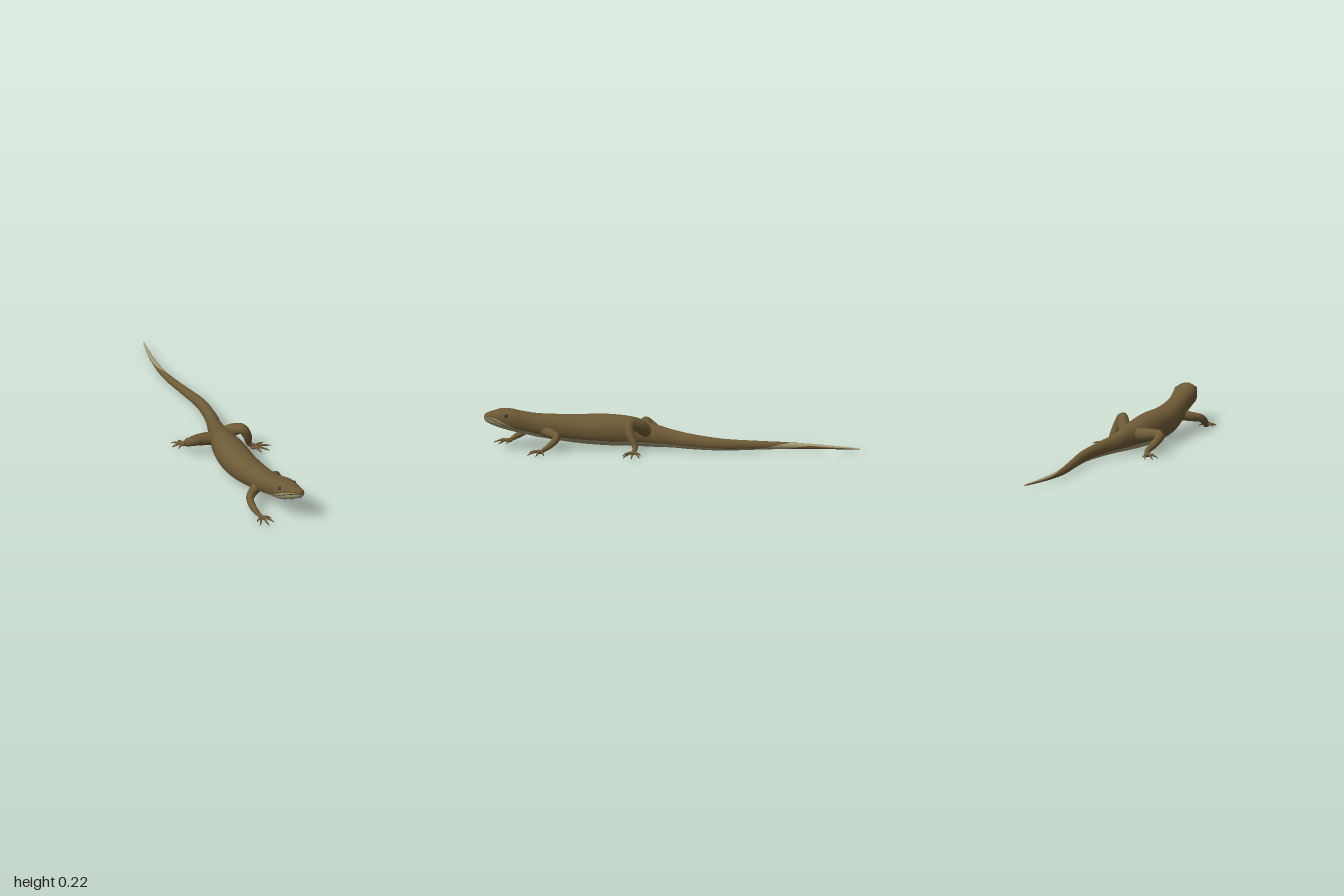
import * as THREE from 'three';

const mat = (name, color) => Object.assign(new THREE.MeshStandardMaterial({ color }), { name });
const V = (a) => new THREE.Vector3(...a);
const rad = THREE.MathUtils.degToRad;
const ramp = THREE.MathUtils.smoothstep;

// Body sections: z, centre x, half width, top y, bottom y
const SECTIONS = [
  [-1.0, 0.06, 0.001, 0.02, 0.016],
  [-0.97, 0.051, 0.005, 0.023, 0.013],
  [-0.78, 0.022, 0.013, 0.033, 0.009],
  [-0.62, 0.017, 0.018, 0.043, 0.007],
  [-0.45, 0.037, 0.022, 0.056, 0.008],
  [-0.27, 0.057, 0.027, 0.072, 0.008],
  [-0.1, 0.037, 0.033, 0.093, 0.01],
  [0.0, 0.01, 0.04, 0.11, 0.012],
  [0.1, -0.012, 0.05, 0.136, 0.01],
  [0.2, -0.033, 0.067, 0.165, 0.01],
  [0.35, -0.044, 0.083, 0.178, 0.012],
  [0.5, -0.043, 0.078, 0.176, 0.024],
  [0.7, -0.018, 0.063, 0.187, 0.06],
  [0.8, 0.001, 0.06, 0.206, 0.087],
  [0.86, 0.01, 0.064, 0.22, 0.105],
  [0.91, 0.018, 0.06, 0.222, 0.122],
  [0.95, 0.035, 0.044, 0.216, 0.14],
  [0.98, 0.05, 0.029, 0.21, 0.157],
  [0.995, 0.056, 0.017, 0.203, 0.17],
  [1.0, 0.058, 0.001, 0.189, 0.186],
];

// Half angle of the pale belly: wider at the lips and the tail tip
const bellyAngle = (z) => rad(58 + 47 * ramp(z, 0.8, 0.99) + 24 * (1 - ramp(z, -0.85, -0.7)));
// The pale band turns from the underside to the top along the tail
const bellyTurn = (z) => Math.PI * (1 - ramp(z, -0.78, -0.45));
// Rounder tail and nose tip, squarer trunk and head
const squareness = (z) => 1 - 0.08 * ramp(z, 0.1, 0.3) - 0.12 * ramp(z, 0.75, 0.9) + 0.2 * ramp(z, 0.96, 1);

// Smooth interpolation of the section table at any z
function sectionAt(z) {
  const S = SECTIONS, last = S.length - 1;
  let i = 0;
  while (i < last - 1 && z > S[i + 1][0]) i++;
  const h = S[i + 1][0] - S[i][0], t = (z - S[i][0]) / h;
  const slope = (k, c) => {
    const a = S[Math.max(k - 1, 0)], b = S[Math.min(k + 1, last)];
    return (b[c] - a[c]) / (b[0] - a[0]);
  };
  return S[i].map((p, c) => c === 0 ? z
    : (1 + 2 * t) * (1 - t) ** 2 * p + t * (1 - t) ** 2 * h * slope(i, c)
      + t * t * (3 - 2 * t) * S[i + 1][c] + t * t * (t - 1) * h * slope(i + 1, c));
}

// Skin point of a section; the angle runs from the underside towards +x
function skin([z, cx, halfWidth, top, bottom], angle) {
  const bend = (v) => Math.sign(v) * Math.abs(v) ** squareness(z);
  return [cx + halfWidth * bend(Math.sin(angle)),
    (top + bottom) / 2 - (top - bottom) / 2 * bend(Math.cos(angle)), z];
}

function bodyGeometry() {
  const BELLY = 16, BACK = 24, N = BELLY + BACK, STEPS = 7;
  const pos = [], belly = [], back = [], zs = [];
  for (let i = 0; i < SECTIONS.length - 1; i++)
    for (let k = 0; k < STEPS; k++)
      zs.push(THREE.MathUtils.lerp(SECTIONS[i][0], SECTIONS[i + 1][0], k / STEPS));
  zs.push(1);
  zs.forEach((z, i) => {
    const s = sectionAt(z), a = bellyAngle(z);
    for (let j = 0; j < N; j++) {
      const angle = j < BELLY ? -a + 2 * a * j / BELLY : a + (2 * Math.PI - 2 * a) * (j - BELLY) / BACK;
      pos.push(...skin(s, angle + bellyTurn(z)));
      if (i === zs.length - 1) continue;
      const p = i * N + j, q = i * N + (j + 1) % N;
      (j < BELLY ? belly : back).push(p, q, p + N, q, q + N, p + N);
    }
  });
  const g = new THREE.BufferGeometry();
  g.setAttribute('position', new THREE.Float32BufferAttribute(pos, 3));
  g.setIndex([...belly, ...back]);
  g.addGroup(0, belly.length, 0);
  g.addGroup(belly.length, back.length, 1);
  g.computeVertexNormals();
  return g;
}

// Tapered tube through points [x, y, z, radius]
function limbGeometry(points, segments = 28, sides = 14) {
  const curve = new THREE.CatmullRomCurve3(points.map(([x, y, z]) => new THREE.Vector3(x, y, z)));
  const radii = new THREE.CatmullRomCurve3(points.map((p, i) => new THREE.Vector3(i, p[3], 0)));
  const g = new THREE.TubeGeometry(curve, segments, 1, sides);
  const pos = g.attributes.position, v = new THREE.Vector3();
  for (let i = 0; i <= segments; i++) {
    const c = curve.getPointAt(i / segments);
    const r = radii.getPoint(curve.getUtoTmapping(i / segments)).y;
    for (let j = 0; j <= sides; j++) {
      const k = i * (sides + 1) + j;
      v.fromBufferAttribute(pos, k).sub(c).multiplyScalar(r).add(c);
      pos.setXYZ(k, v.x, v.y, v.z);
    }
  }
  return g;
}

// Flattened palm with five toes fanned about a heading (degrees from +z towards +x)
const TOE_LENGTHS = [0.04, 0.066, 0.082, 0.073, 0.05];
function addFoot(add, leg, [x, y, z], { heading, spread, reach }, skinMat, clawMat) {
  const palm = add(leg, 'palm', new THREE.SphereGeometry(0.017, 16, 10), skinMat);
  palm.position.set(x, y, z);
  palm.scale.y = 0.6;
  TOE_LENGTHS.forEach((length, i) => {
    const angle = rad(heading + (i - 2) * spread), d = length * reach;
    const at = (f, h, r) => [x + Math.sin(angle) * d * f, h, z + Math.cos(angle) * d * f, r];
    add(leg, 'toe', limbGeometry([at(0, y, 0.006), at(0.4, 0.018, 0.0058), at(0.7, 0.014, 0.0048),
      at(0.92, 0.008, 0.0025)], 10, 8), skinMat);
    add(leg, 'claw', limbGeometry([at(0.86, 0.0105, 0.003), at(0.94, 0.007, 0.002),
      at(1, 0.002, 0.0003)], 5, 6), clawMat);
  });
}

// Leg paths [x, y, z, radius] from the body to the palm, and how the toes fan out
const LEGS = {
  leftForeleg: {
    path: [[0.0, 0.105, 0.7, 0.03], [0.055, 0.098, 0.645, 0.024], [0.088, 0.085, 0.612, 0.02],
      [0.1, 0.05, 0.64, 0.017], [0.125, 0.014, 0.697, 0.009]],
    foot: { heading: 28, spread: 41, reach: 0.96 },
  },
  rightForeleg: {
    path: [[-0.03, 0.105, 0.68, 0.032], [-0.095, 0.088, 0.715, 0.026], [-0.134, 0.075, 0.76, 0.021],
      [-0.136, 0.045, 0.81, 0.018], [-0.115, 0.014, 0.867, 0.009]],
    foot: { heading: 4, spread: 35, reach: 1 },
  },
  leftHindLeg: {
    path: [[0.0, 0.09, 0.13, 0.038], [0.038, 0.135, 0.175, 0.034], [0.07, 0.158, 0.225, 0.028],
      [0.1, 0.105, 0.222, 0.024], [0.122, 0.04, 0.195, 0.016], [0.143, 0.015, 0.205, 0.01]],
    foot: { heading: 84, spread: -31, reach: 1.22 },
  },
  rightHindLeg: {
    path: [[-0.02, 0.085, 0.15, 0.038], [-0.12, 0.098, 0.14, 0.034], [-0.195, 0.1, 0.138, 0.025],
      [-0.188, 0.065, 0.09, 0.021], [-0.162, 0.026, 0.048, 0.014], [-0.18, 0.015, 0.02, 0.01]],
    foot: { heading: -135, spread: 36, reach: 0.88 },
  },
};

export function createModel() {
  const brown = mat('brown skin', 0x6e5a36);
  const cream = mat('cream belly', 0xa39a74);
  const dark = mat('dark mouth and claws', 0x3e3424);
  const eyeGrey = mat('grey eye', 0x3b3e42);
  const model = new THREE.Group();
  model.name = 'lizard';
  const add = (parent, name, geometry, material) => {
    const m = new THREE.Mesh(geometry, material);
    m.name = name;
    parent.add(m);
    return m;
  };

  // Head, trunk and tail in one smooth skin
  add(model, 'body', bodyGeometry(), [cream, brown]);

  // Legs and feet
  for (const [name, { path, foot }] of Object.entries(LEGS)) {
    const leg = new THREE.Group();
    leg.name = name;
    model.add(leg);
    add(leg, 'limb', limbGeometry(path), brown);
    addFoot(add, leg, path[path.length - 1], foot, brown, dark);
  }

  // Mouth line wrapping round the snout
  const lip = [];
  for (const side of [1, -1])
    for (let i = 0; i <= 8; i++) {
      const z = side > 0 ? 0.868 + 0.127 * i / 8 : 0.995 - 0.127 * i / 8;
      lip.push(V(skin(sectionAt(z), side * (bellyAngle(z) - rad(12)))));
    }
  add(model, 'mouth', new THREE.TubeGeometry(new THREE.CatmullRomCurve3(lip), 60, 0.0018, 6), dark);

  // Eyes and nostrils set into the skin
  for (const [z, angle, r, name, material] of [
    [0.885, 118, 0.012, 'eye', eyeGrey], [0.912, -122, 0.012, 'eye', eyeGrey],
    [0.985, 122, 0.003, 'nostril', dark], [0.985, -122, 0.003, 'nostril', dark]]) {
    const s = sectionAt(z), p = V(skin(s, rad(angle)));
    const inward = new THREE.Vector3(s[1], (s[3] + s[4]) / 2, z - 0.02).sub(p).normalize();
    const ball = add(model, name, new THREE.SphereGeometry(r, 18, 12), material);
    ball.position.copy(p).addScaledVector(inward, r * 0.6);
  }
  return model;
}
